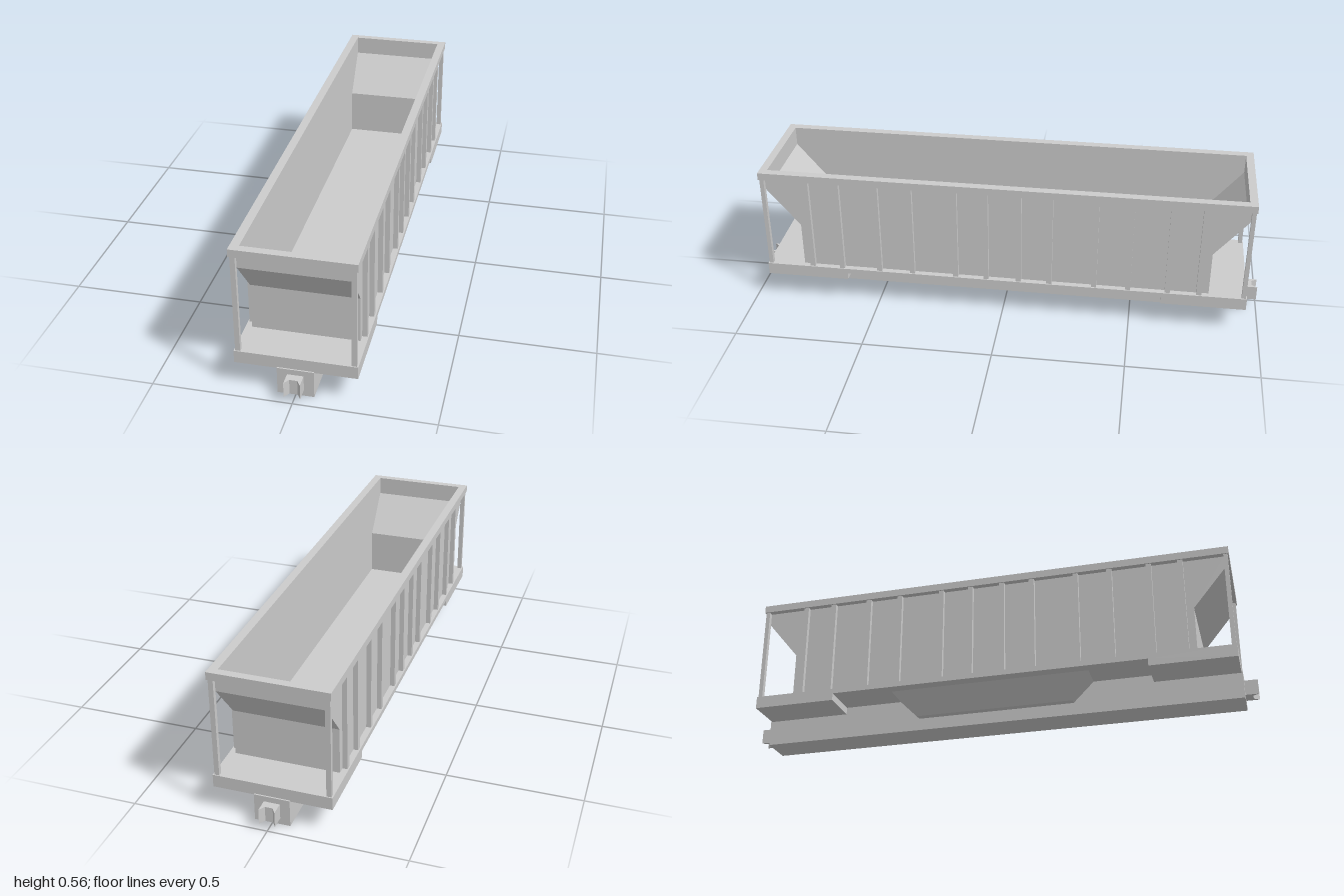
import * as THREE from 'three';

const material = new THREE.MeshStandardMaterial({ color: 0xcccccc, flatShading: true });

export function createModel() {
  const model = new THREE.Group();
  model.name = 'hopperWagon';

  const add = (name, geometry, x = 0, y = 0, z = 0) => {
    const mesh = new THREE.Mesh(geometry, material);
    mesh.name = name;
    mesh.position.set(x, y, z);
    model.add(mesh);
    return mesh;
  };
  // Box from its limits on each axis
  const box = (name, x0, x1, y0, y1, z0, z1) =>
    add(name, new THREE.BoxGeometry(x1 - x0, y1 - y0, z1 - z0), (x0 + x1) / 2, (y0 + y1) / 2, (z0 + z1) / 2);
  const shapeOf = (points) => new THREE.Shape(points.map(([a, b]) => new THREE.Vector2(a, b)));
  // Side profile (z, y) extruded across the width, centred on x = 0
  const across = (points, width) =>
    new THREE.ExtrudeGeometry(shapeOf(points), { depth: width, bevelEnabled: false })
      .rotateY(-Math.PI / 2).translate(width / 2, 0, 0);
  // Plan outline (x, z) extruded upwards from y0 to y1
  const upright = (shape, y0, y1) =>
    new THREE.ExtrudeGeometry(shape, { depth: y1 - y0, bevelEnabled: false })
      .rotateX(Math.PI / 2).translate(0, y1, 0);
  const rect = (x, z) => [[-x, -z], [x, -z], [x, z], [-x, z]];

  // Top rim with its open mouth
  const rim = shapeOf(rect(0.217, 0.945));
  rim.holes.push(new THREE.Path(rect(0.185, 0.915).map(([x, z]) => new THREE.Vector2(x, z))));
  add('topRim', upright(rim, 0.527, 0.556));

  // Deck, thinner along the middle
  add('deck', across([
    [-0.945, 0.1], [-0.62, 0.1], [-0.62, 0.128], [0.62, 0.128], [0.62, 0.1],
    [0.945, 0.1], [0.945, 0.148], [-0.945, 0.148],
  ], 0.434));

  // Centre sill
  box('centreSill', -0.065, 0.065, 0, 0.104, -0.95, 0.95);
  box('sillSpacer', -0.065, 0.065, 0.104, 0.128, -0.62, 0.62);

  // Body end plates: vertical, sloping out, vertical again
  const outer = [[0.8, 0.148], [0.8, 0.325], [0.925, 0.476], [0.925, 0.528]];
  const inner = [[0.915, 0.528], [0.915, 0.482], [0.79, 0.331], [0.79, 0.148]];
  const endSheet = across([...outer, ...inner], 0.372);
  add('frontEndPlate', endSheet);
  add('backEndPlate', endSheet).rotation.y = Math.PI;

  // Side plates, posts and ribs
  const sidePlate = across([...outer, ...outer.map(([z, y]) => [-z, y]).reverse()], 0.009);
  const ribs = [0.064, 0.184, 0.358, 0.49, 0.642, 0.762];
  for (const s of [-1, 1]) {
    add('sidePlate', sidePlate, s * 0.1895);
    for (const e of [-1, 1]) {
      for (const z of ribs) {
        add('sideRib', new THREE.BoxGeometry(0.018, 0.38, 0.02), s * 0.203, 0.338, e * z);
      }
      add('cornerPost', new THREE.BoxGeometry(0.018, 0.38, 0.016), s * 0.203, 0.338, e * 0.933);
    }
  }

  // Discharge hopper under the deck, tapering downwards
  const hopper = new THREE.BoxGeometry(0.346, 0.08, 0.78);
  const p = hopper.attributes.position;
  for (let i = 0; i < p.count; i++) {
    if (p.getY(i) < 0) {
      p.setX(i, Math.sign(p.getX(i)) * 0.092);
      p.setZ(i, Math.sign(p.getZ(i)) * 0.31);
    }
  }
  hopper.computeVertexNormals();
  add('dischargeHopper', hopper, 0, 0.088, 0);

  // Couplers with a notched jaw
  const jaw = upright(shapeOf([
    [-0.029, 0.945], [0.029, 0.945], [0.029, 1], [0.014, 0.978], [-0.014, 0.978], [-0.029, 1],
  ]), 0.025, 0.083);
  add('frontCoupler', jaw);
  add('backCoupler', jaw).rotation.y = Math.PI;

  return model;
}
